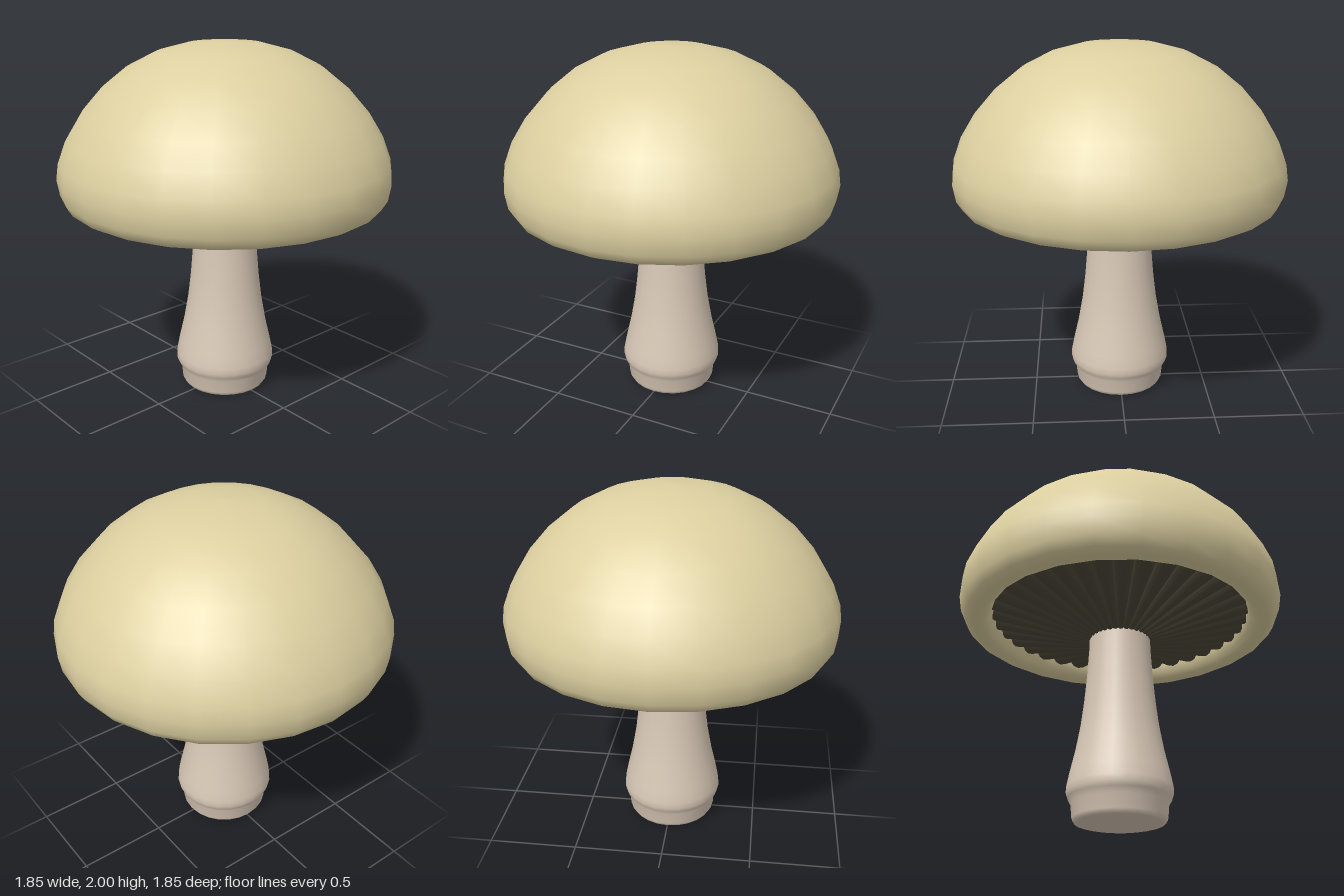
import * as THREE from 'three';

const material = (color) => new THREE.MeshStandardMaterial({ color, roughness: 0.8 });

function lathe(name, profile, segments, color) {
  const points = profile.map(([r, y]) => new THREE.Vector2(r, y));
  const mesh = new THREE.Mesh(new THREE.LatheGeometry(points, segments), material(color));
  mesh.name = name;
  return mesh;
}

export function createModel() {
  const model = new THREE.Group();
  model.name = 'mushroom';

  // Stem with a swollen collar above a short foot
  model.add(lathe('stem', [
    [0, 0], [0.225, 0], [0.24, 0.004], [0.253, 0.025], [0.26, 0.1], [0.278, 0.13],
    [0.286, 0.155], [0.284, 0.19], [0.27, 0.26], [0.24, 0.39], [0.215, 0.53],
    [0.198, 0.67], [0.185, 0.82], [0.175, 0.98], [0.172, 1.1],
  ], 24, 0xd8c8b6));

  // Cap: hidden ceiling, inner wall, rolled lip, then the dome
  model.add(lathe('cap', [
    [0, 1.32], [0.7, 1.32], [0.73, 1.27], [0.735, 1.2], [0.75, 1.15], [0.775, 1.125],
    [0.805, 1.115], [0.845, 1.12], [0.88, 1.14], [0.91, 1.19], [0.925, 1.28],
    [0.912, 1.37], [0.866, 1.49], [0.785, 1.62], [0.67, 1.75], [0.53, 1.862],
    [0.37, 1.943], [0.2, 1.988], [0, 2],
  ], 24, 0xdccfa0));

  // Gills: tapered round ribs fanning out from the stem
  const count = 36;
  const inner = new THREE.Vector2(0.14, 1.05);
  const outer = new THREE.Vector2(0.715, 1.243);
  const middle = inner.clone().add(outer).multiplyScalar(0.5);
  const slope = outer.clone().sub(inner).angle();
  const rib = new THREE.CylinderGeometry(0.065, 0.014, inner.distanceTo(outer), 12);
  rib.rotateZ(slope - Math.PI / 2);
  rib.translate(middle.x, middle.y, 0);
  const gillMaterial = material(0x4c4738);
  const gills = new THREE.Group();
  gills.name = 'gills';
  for (let i = 0; i < count; i++) {
    const gill = new THREE.Mesh(rib, gillMaterial);
    gill.name = 'gill';
    gill.rotation.y = (i / count) * Math.PI * 2;
    gills.add(gill);
  }
  model.add(gills);

  return model;
}
